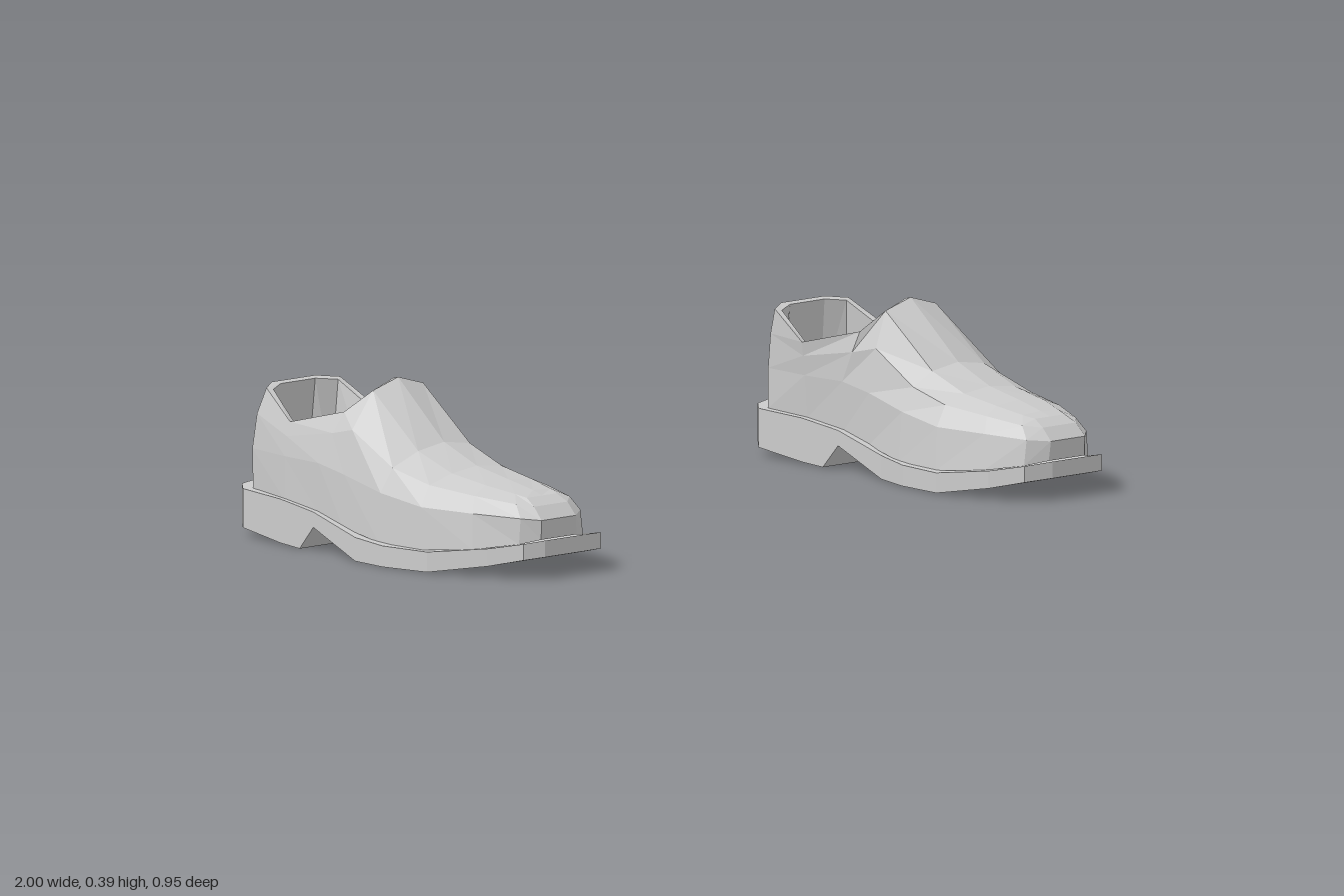
import * as THREE from 'three';

// Each station is [z, inner x, outer x, y], listed from toe to heel.
const SOLE = [ // [z, inner x, outer x, top y, bottom y]
  [0.473, 0.72, 0.85, 0.088, 0.05], [0.45, 0.655, 0.895, 0.082, 0.045], [0.37, 0.62, 0.93, 0.066, 0.026],
  [0.23, 0.59, 0.985, 0.048, 0.002], [0.1, 0.608, 1.0, 0.048, 0], [0, 0.638, 0.99, 0.054, 0],
  [-0.16, 0.655, 0.968, 0.09, 0.055], [-0.21, 0.655, 0.963, 0.096, 0], [-0.28, 0.655, 0.957, 0.104, 0.004],
  [-0.42, 0.655, 0.94, 0.109, 0.02], [-0.46, 0.69, 0.905, 0.112, 0.026], [-0.475, 0.735, 0.845, 0.114, 0.028],
];
const BASE = [
  [0.45, 0.73, 0.84, 0.086], [0.42, 0.682, 0.88, 0.076], [0.33, 0.643, 0.938, 0.06], [0.2, 0.618, 0.972, 0.047],
  [0.06, 0.635, 0.975, 0.048], [-0.07, 0.665, 0.962, 0.066], [-0.16, 0.672, 0.953, 0.088],
  [-0.28, 0.672, 0.944, 0.102], [-0.41, 0.675, 0.918, 0.108], [-0.447, 0.73, 0.855, 0.112],
];
const SIDE = [
  [0.452, 0.735, 0.84, 0.13], [0.42, 0.69, 0.875, 0.134], [0.32, 0.655, 0.93, 0.14], [0.19, 0.63, 0.965, 0.143],
  [0.06, 0.645, 0.968, 0.16], [-0.07, 0.665, 0.958, 0.185], [-0.16, 0.668, 0.953, 0.2],
  [-0.28, 0.665, 0.943, 0.2], [-0.41, 0.675, 0.92, 0.2], [-0.448, 0.73, 0.855, 0.2],
];
const SHOULDER = [
  [0.425, 0.735, 0.838, 0.158], [0.395, 0.7, 0.865, 0.163], [0.3, 0.68, 0.905, 0.175], [0.18, 0.665, 0.93, 0.188],
  [0.07, 0.67, 0.94, 0.215], [-0.065, 0.682, 0.937, 0.285], [-0.13, 0.67, 0.938, 0.27],
  [-0.28, 0.66, 0.937, 0.245], [-0.4, 0.673, 0.915, 0.28], [-0.44, 0.73, 0.855, 0.285],
];
const TOP = [
  [0.395, 0.74, 0.832, 0.174], [0.365, 0.73, 0.84, 0.18], [0.29, 0.72, 0.86, 0.193], [0.19, 0.715, 0.87, 0.209],
  [0.085, 0.715, 0.875, 0.248], [-0.068, 0.715, 0.87, 0.367], [-0.115, 0.68, 0.915, 0.318],
  [-0.278, 0.655, 0.928, 0.277], [-0.385, 0.672, 0.9, 0.338], [-0.415, 0.72, 0.855, 0.343],
];
const CROWN = [0, 0.003, 0.006, 0.009, 0.012, 0.022]; // height of the vamp centre line over its edges
const FRONT = 5; // station at the front of the foot opening

const inner = ([z, x, , y]) => [x, y, z];
const outer = ([z, , x, y]) => [x, y, z];
const middle = (s, i) => [(s[1] + s[2]) / 2, s[3] + (CROWN[i] ?? 0), s[0]];

// Closed loop: along the outer side to the heel, back along the inner side
const loop = (st, mid) => [...st.map(outer), ...st.map(inner).reverse(), ...(mid ? [mid] : [])];

// Quads between successive loops
function loft(rings) {
  const quads = [];
  for (let r = 0; r + 1 < rings.length; r++) {
    const a = rings[r], b = rings[r + 1];
    a.forEach((p, i) => {
      const j = (i + 1) % a.length;
      quads.push([p, a[j], b[j], b[i]]);
    });
  }
  return quads;
}

// Strip across a row of stations, facing up or down
function cap(st, up = true) {
  const quads = [];
  for (let i = 0; i + 1 < st.length; i++) {
    const q = [outer(st[i]), outer(st[i + 1]), inner(st[i + 1]), inner(st[i])];
    quads.push(up ? q : q.reverse());
  }
  return quads;
}

function makeMesh(name, quads, side, material) {
  const pos = [];
  for (const [a, b, c, d] of quads) {
    const tris = side > 0 ? [a, b, c, a, c, d] : [a, c, b, a, d, c];
    for (const [x, y, z] of tris) pos.push(x * side, y, z);
  }
  const geo = new THREE.BufferGeometry();
  geo.setAttribute('position', new THREE.Float32BufferAttribute(pos, 3));
  geo.computeVertexNormals();
  const mesh = new THREE.Mesh(geo, material);
  mesh.name = name;
  return mesh;
}

function createShoe(side, material) {
  const shoe = new THREE.Group();
  shoe.name = side > 0 ? 'leftShoe' : 'rightShoe';
  const add = (name, quads) => shoe.add(makeMesh(name, quads, side, material));

  // Sole with raised toe, arch and heel block
  const soleTop = SOLE.map(([z, a, b, t]) => [z, a, b, t]);
  const soleBottom = SOLE.map(([z, a, b, , y]) => [z, a, b, y]);
  add('sole', [...loft([loop(soleBottom), loop(soleTop)]), ...cap(soleTop), ...cap(soleBottom, false)]);

  // Outer walls of the upper
  add('upper', loft([BASE, SIDE, SHOULDER, TOP].map((s) => loop(s))));

  // Vamp over the foot, folded along its centre line
  const vamp = [];
  for (let i = 0; i < FRONT; i++) {
    const s = TOP[i], t = TOP[i + 1], m = middle(s, i), n = middle(t, i + 1);
    vamp.push([outer(s), outer(t), n, m], [m, n, inner(t), inner(s)]);
  }
  add('vamp', vamp);

  // Collar rim and lining
  const edge = TOP.slice(FRONT);
  const rim = edge.map(([z, a, b, y], i) => [z + [-0.016, -0.008, 0, 0.008, 0.014][i], a + 0.014, b - 0.014, y - 0.004]);
  const floor = [[0.04, 0.69, 0.93, 0.08], [-0.1, 0.69, 0.93, 0.095], [-0.27, 0.69, 0.92, 0.115],
    [-0.39, 0.695, 0.9, 0.12], [-0.425, 0.735, 0.85, 0.12]];
  const edgeLoop = loop(edge, middle(TOP[FRONT], FRONT));
  const rimLoop = loop(rim, middle(rim[0], FRONT));
  add('collar', loft([edgeLoop, rimLoop]));
  add('lining', loft([rimLoop, loop(floor, middle(floor[0], -1))]));
  add('insole', cap(floor));
  return shoe;
}

export function createModel() {
  const model = new THREE.Group();
  model.name = 'pairOfShoes';
  const material = new THREE.MeshStandardMaterial({ color: 0xcccccc, flatShading: true });
  for (const side of [1, -1]) model.add(createShoe(side, material));
  return model;
}
